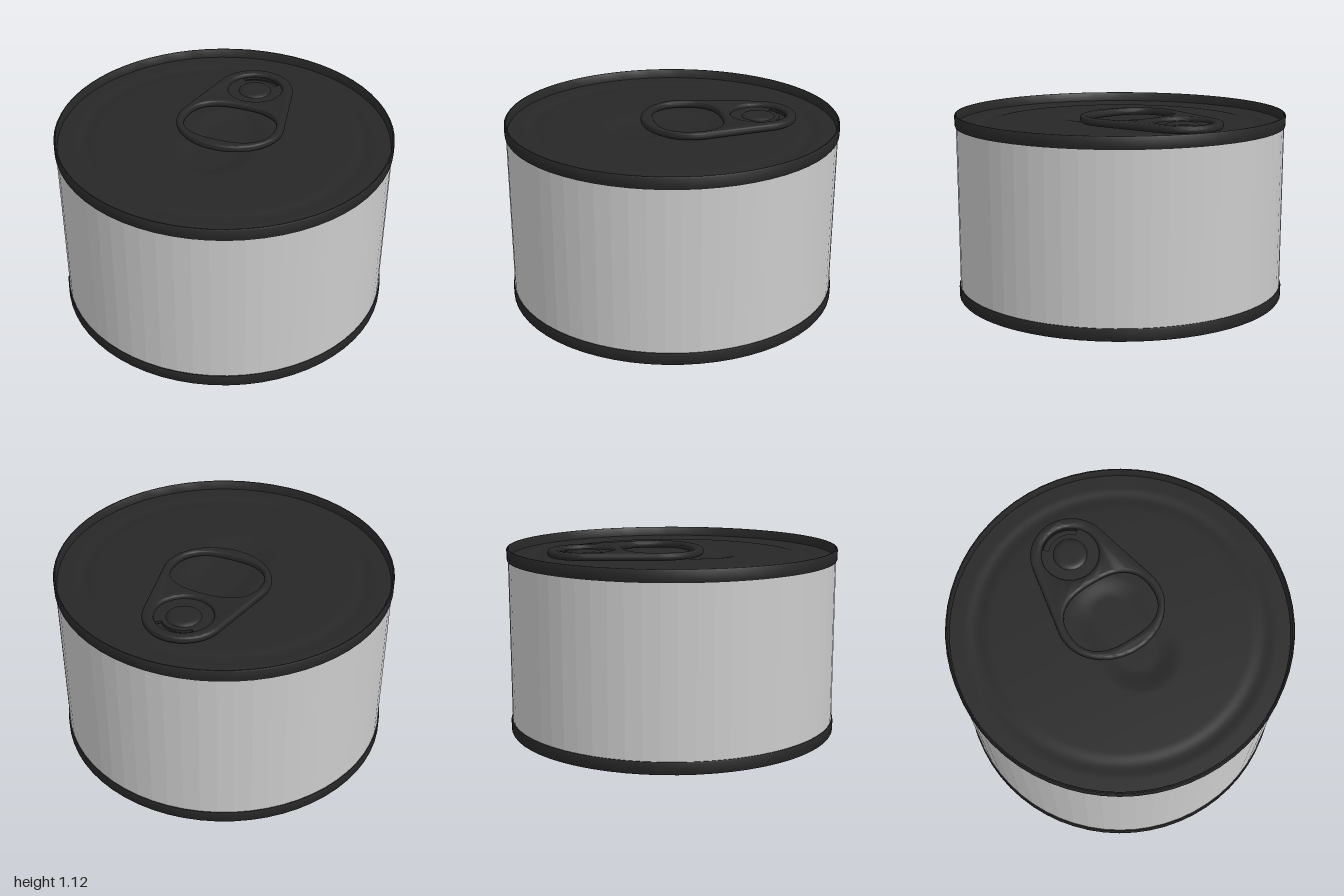
import * as THREE from 'three';
import { toCreasedNormals } from 'three/addons/utils/BufferGeometryUtils.js';

const SIDES = 64;
const V = (p) => new THREE.Vector2(p[0], p[1]);
const dark = new THREE.MeshStandardMaterial({ color: 0x272727 });
const grey = new THREE.MeshStandardMaterial({ color: 0xcccccc, flatShading: true });

function add(group, name, geometry, material = dark) {
  const mesh = new THREE.Mesh(geometry, material);
  mesh.name = name;
  group.add(mesh);
  return mesh;
}

const lathe = (points, sides = SIDES) =>
  toCreasedNormals(new THREE.LatheGeometry(points.map(V), sides), 0.7);

// Extrude a plan shape (shape y = -z) upwards from height y, keeping its outline exact
function plate(shape, y, height, bevel) {
  const g = new THREE.ExtrudeGeometry(shape, {
    depth: height - 2 * bevel, bevelEnabled: bevel > 0, bevelSize: bevel,
    bevelThickness: bevel, bevelOffset: -bevel, bevelSegments: 4, curveSegments: 32,
  });
  g.rotateX(-Math.PI / 2).translate(0, y + bevel, 0);
  return toCreasedNormals(g, 0.7);
}

// Smooth bump of height 1 between radii a and b
const bump = (r, a, b) => (r <= a || r >= b ? 0 : Math.sin((Math.PI * (r - a)) / (b - a)) ** 2);

export function createModel() {
  const can = new THREE.Group();
  can.name = 'can';

  // Side wall
  add(can, 'body', new THREE.CylinderGeometry(0.992, 0.992, 1.02, SIDES, 1, true).translate(0, 0.563, 0), grey);

  // Bottom end: recessed centre, two concentric beads and a thin seam rim
  const bottom = [[0, 0.062]];
  for (let r = 0.56; r < 0.925; r += 0.015) {
    const step = 0.062 - 0.012 * THREE.MathUtils.smoothstep(r, 0.56, 0.92);
    bottom.push([r, step - 0.022 * (bump(r, 0.58, 0.7) + bump(r, 0.76, 0.9))]);
  }
  bottom.push([0.983, 0.05], [0.987, 0.004], [0.99, 0], [0.996, 0], [1, 0.006],
    [1, 0.066], [0.997, 0.073], [0.987, 0.073]);
  add(can, 'bottomEnd', lathe(bottom));

  // Top seam rim
  add(can, 'topRim', lathe([[0.987, 1.053], [0.997, 1.053], [1, 1.06], [1, 1.119], [0.996, 1.125],
    [0.99, 1.125], [0.987, 1.121], [0.983, 1.068]]));

  // Top panel: shallow beads and a finger dimple running under the tab
  const profile = [];
  for (let i = 64; i >= 0; i--) profile.push([(i / 64) * 0.984, 1.068]);
  const panel = new THREE.LatheGeometry(profile.map(V), 96);
  const pos = panel.attributes.position;
  for (let i = 0; i < pos.count; i++) {
    const x = pos.getX(i), z = pos.getZ(i);
    const r = Math.hypot(x, z);
    const d = Math.hypot(x, z - THREE.MathUtils.clamp(z, -0.1, 0.2));
    const dimple = 0.022 * (1 - THREE.MathUtils.smoothstep(d, 0.1, 0.24));
    pos.setY(i, 1.068 - 0.008 * bump(r, 0.76, 0.9) - dimple);
  }
  add(can, 'topPanel', toCreasedNormals(panel, 0.8));

  // Pull tab
  const tab = new THREE.Group();
  tab.name = 'pullTab';
  can.add(tab);

  // Outline: a round nose and a wider elliptical grip joined by straight sides
  const t = 0.2;
  const outline = new THREE.Shape();
  outline.absarc(0, 0.52, 0.24, t, Math.PI - t, false);
  outline.absellipse(0, 0.1, 0.328, 0.287, Math.PI - t, 2 * Math.PI + t, false);
  outline.closePath();

  // Finger hole: a squarish oval
  const hole = [];
  for (let i = 0; i < 64; i++) {
    const a = (-i / 64) * Math.PI * 2, c = Math.cos(a), s = Math.sin(a);
    hole.push(new THREE.Vector2(0.278 * Math.sign(c) * Math.abs(c) ** 0.75,
      0.095 + 0.207 * Math.sign(s) * Math.abs(s) ** 0.85));
  }
  outline.holes.push(new THREE.Path(hole));
  const rivetY = 0.53;
  outline.holes.push(new THREE.Path().absarc(0, rivetY, 0.17, 0, Math.PI * 2, true));
  add(tab, 'tabPlate', plate(outline, 1.075, 0.044, 0.018));

  // Riveted tongue with a crescent slot
  const tongue = new THREE.Shape().absarc(0, rivetY, 0.175, 0, Math.PI * 2, false);
  const slot = new THREE.Path();
  slot.absarc(0, rivetY, 0.165, 0.75, Math.PI - 0.75, false);
  slot.absarc(0, rivetY, 0.13, Math.PI - 0.75, 0.75, true);
  slot.closePath();
  tongue.holes.push(slot);
  add(tab, 'tongue', plate(tongue, 1.08, 0.016, 0));

  // Rivet head
  const rivet = lathe([[0.1, 1.06], [0.1, 1.096], [0.09, 1.104], [0.075, 1.108], [0.055, 1.108], [0, 1.108]], 32);
  add(tab, 'rivet', rivet).position.z = -rivetY;

  return can;
}
